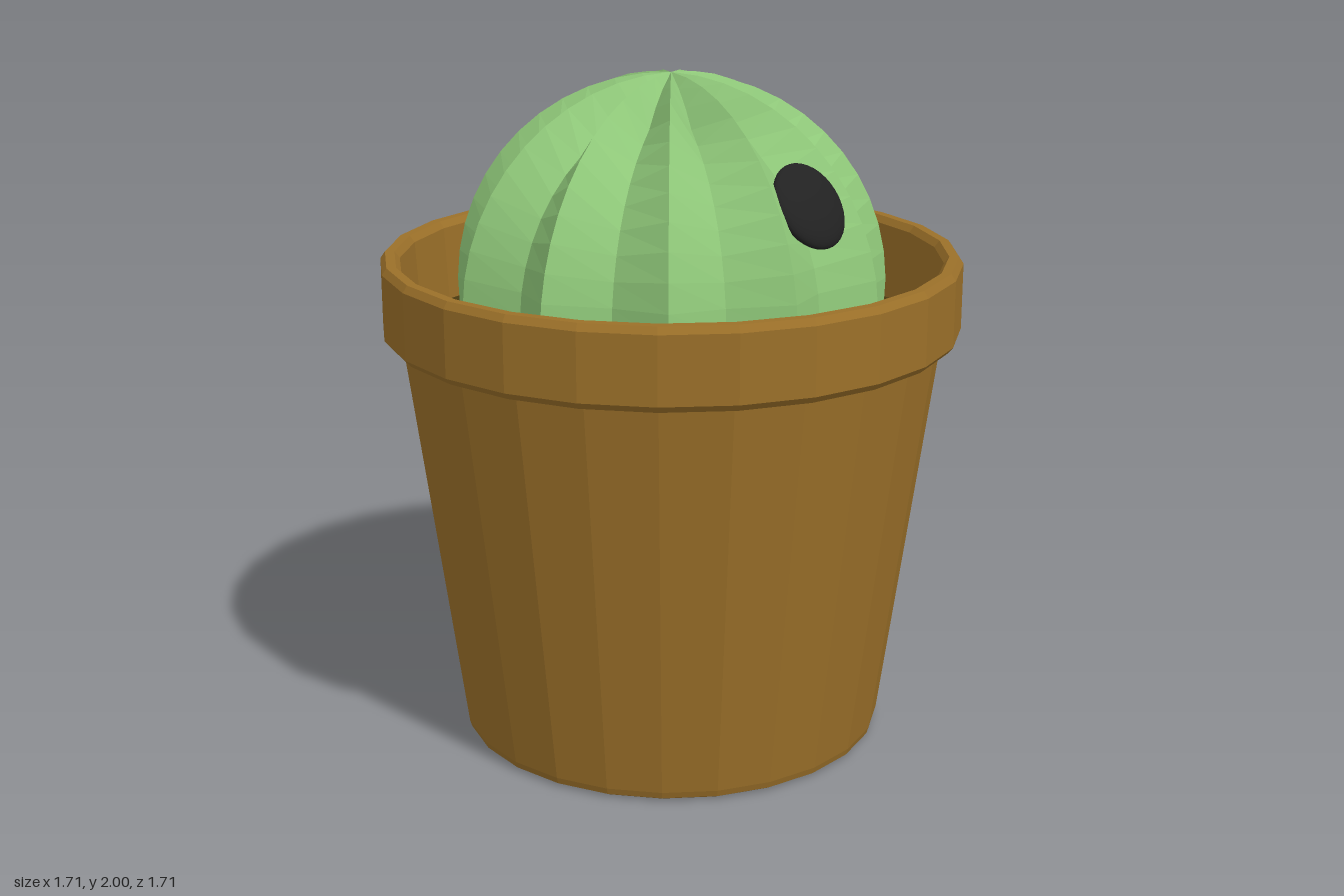
import * as THREE from 'three';

const SIDES = 25;
const RIBS = 11;
const POT_TURN = THREE.MathUtils.degToRad(4.5);

function lathePart(name, profile, material) {
  const points = profile.map(([r, y]) => new THREE.Vector2(r, y));
  const mesh = new THREE.Mesh(new THREE.LatheGeometry(points, SIDES, POT_TURN), material);
  mesh.name = name;
  return mesh;
}

// Dome whose alternate meridians are pulled inward to form sharp ribs
function ribbedDome(radius, rows) {
  const columns = RIBS * 2;
  const geometry = new THREE.SphereGeometry(radius, columns, rows, Math.PI, Math.PI * 2, 0, 1.8);
  const position = geometry.attributes.position;
  const p = new THREE.Vector3();
  for (let i = 0; i < position.count; i++) {
    const isValley = (i % (columns + 1)) % 2 === 1;
    if (!isValley) continue;
    p.fromBufferAttribute(position, i);
    const polar = Math.acos(THREE.MathUtils.clamp(p.y / radius, -1, 1));
    p.multiplyScalar(1 - 0.145 * Math.min(1, polar * 2.5));
    position.setXYZ(i, p.x, p.y, p.z);
  }
  geometry.computeVertexNormals();
  return geometry;
}

export function createModel() {
  const group = new THREE.Group();
  group.name = 'pottedCactus';

  const clay = new THREE.MeshStandardMaterial({ color: 0x9b7029, flatShading: true });
  const earth = new THREE.MeshStandardMaterial({ color: 0x4a3910, flatShading: true });
  const green = new THREE.MeshStandardMaterial({ color: 0x90c97a, flatShading: true });
  const black = new THREE.MeshStandardMaterial({ color: 0x222222 });

  // Tapered pot with a bevelled foot
  group.add(lathePart('potBody', [
    [0, 0], [0.62, 0], [0.637, 0.01], [0.643, 0.03], [0.805, 1.25],
  ], clay));

  // Thick bevelled rim, continuing down the inner wall
  group.add(lathePart('potRim', [
    [0.79, 1.24], [0.84, 1.24], [0.857, 1.26], [0.857, 1.455], [0.843, 1.475],
    [0.815, 1.475], [0.8, 1.455], [0.785, 1.2],
  ], clay));

  group.add(lathePart('soil', [[0.795, 1.23], [0, 1.23]], earth));

  // Ribbed cactus
  const cactus = new THREE.Mesh(ribbedDome(0.65, 14), green);
  cactus.name = 'cactus';
  cactus.position.y = 1.35;
  group.add(cactus);

  // Flattened round spot facing outward from the cactus
  const spot = new THREE.Mesh(new THREE.SphereGeometry(0.13, 28, 18), black);
  spot.name = 'spot';
  spot.scale.z = 0.3;
  spot.position.set(0.335, 1.68, 0.385);
  spot.lookAt(0.67, 2.01, 0.77);
  group.add(spot);

  return group;
}
